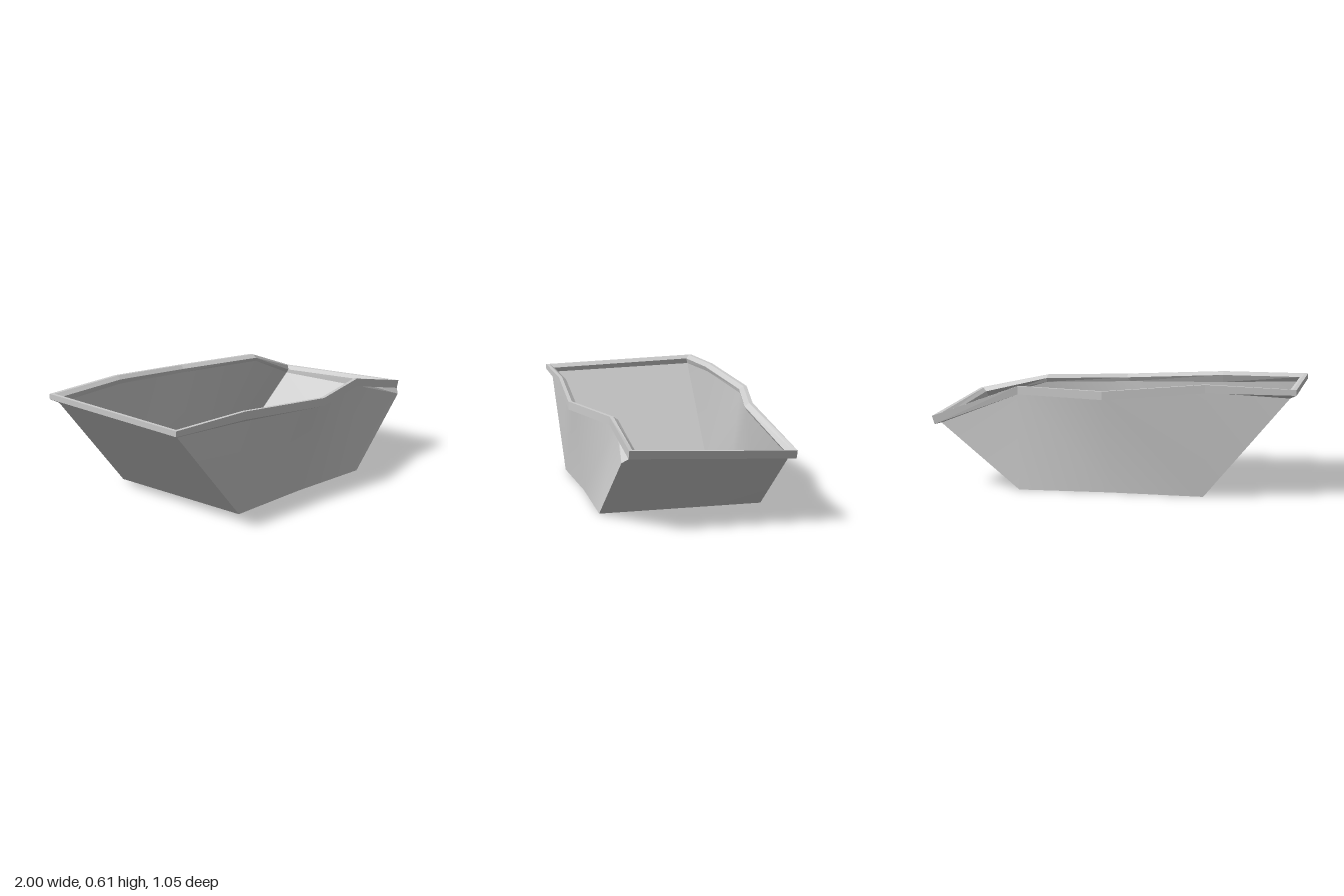
import * as THREE from 'three';
import { toCreasedNormals } from 'three/addons/utils/BufferGeometryUtils.js';

// Outer top edge of the rim, counter-clockwise from the front left corner
const rimTop = [
  [-1, 0.57, 0.46], [-0.5, 0.57, 0.47], [0.09, 0.535, 0.525], [0.56, 0.535, 0.395], [0.985, 0.445, 0.39],
  [0.995, 0.4, -0.49], [0.53, 0.565, -0.4], [0.03, 0.565, -0.53], [-0.52, 0.61, -0.49], [-1, 0.595, -0.49],
];
// Top edge of the sheet walls, same order
const wallTop = [
  [-0.965, 0.525, 0.43], [-0.5, 0.508, 0.44], [0.07, 0.493, 0.49], [0.56, 0.493, 0.36], [0.94, 0.375, 0.42],
  [0.95, 0.36, -0.46], [0.54, 0.525, -0.365], [0.03, 0.525, -0.49], [-0.52, 0.565, -0.455], [-0.965, 0.545, -0.455],
];
// Floor outline, same order
const floorEdge = [
  [-0.51, 0, 0.435], [0, 0, 0.425], [0.51, 0, 0.445],
  [0.51, 0, -0.46], [0, 0, -0.44], [-0.51, 0, -0.455],
];

function meshFrom(name, triangles, crease) {
  let geometry = new THREE.BufferGeometry();
  geometry.setAttribute('position', new THREE.Float32BufferAttribute(triangles.flat(2), 3));
  geometry.computeVertexNormals();
  if (crease) geometry = toCreasedNormals(geometry, crease);
  const mesh = new THREE.Mesh(geometry, new THREE.MeshStandardMaterial({
    color: 0xcccccc, side: THREE.DoubleSide, flatShading: !crease,
  }));
  mesh.name = name;
  return mesh;
}

const quad = (a, b, c, d) => [[a, b, c], [a, c, d]];

// Dented long wall: three floor points (b) fan out to five rim points (t), low x to high x
function longWall(b, t, flip) {
  const tris = [
    [b[0], t[1], t[0]], [b[0], t[2], t[1]], [b[0], b[1], t[2]],
    [b[1], t[3], t[2]], [b[1], b[2], t[3]], [b[2], t[4], t[3]],
  ];
  return flip ? tris.map(([p, q, r]) => [p, r, q]) : tris;
}

export function createModel() {
  const group = new THREE.Group();
  group.name = 'dentedSkip';
  const f = floorEdge, w = wallTop;

  // Long walls
  group.add(meshFrom('frontWall', longWall(f.slice(0, 3), w.slice(0, 5), false), 0.6));
  group.add(meshFrom('backWall', longWall(f.slice(3).reverse(), w.slice(5).reverse(), true), 0.6));

  // Sloping end walls
  group.add(meshFrom('leftEndWall', quad(f[2], f[3], w[5], w[4]), 0.6));
  group.add(meshFrom('rightEndWall', quad(f[5], f[0], w[0], w[9]), 0.6));

  // Floor
  group.add(meshFrom('floor', [...quad(f[0], f[5], f[4], f[1]), ...quad(f[1], f[4], f[3], f[2])]));

  // Rim: a closed lip section carried round the top edge
  const sections = rimTop.map(([x, y, z], i) => {
    const corner = Math.abs(x) > 0.9;
    const inset = (d, drop) => [
      corner ? x - Math.sign(x) * d : x, y - drop, z - Math.sign(z) * d,
    ];
    const height = x < -0.9 ? 0.03 : 0.045;
    const bottom = inset(0, height);
    if (x > 0.9) bottom[0] -= 0.015;
    return [bottom, [x, y, z], inset(0.02, 0), inset(0.045, 0.018), wallTop[i]];
  });
  const rim = [];
  sections.forEach((s, i) => {
    const n = sections[(i + 1) % sections.length];
    s.forEach((p, k) => {
      const m = (k + 1) % s.length;
      rim.push(...quad(p, n[k], n[m], s[m]));
    });
  });
  group.add(meshFrom('rim', rim));
  return group;
}
